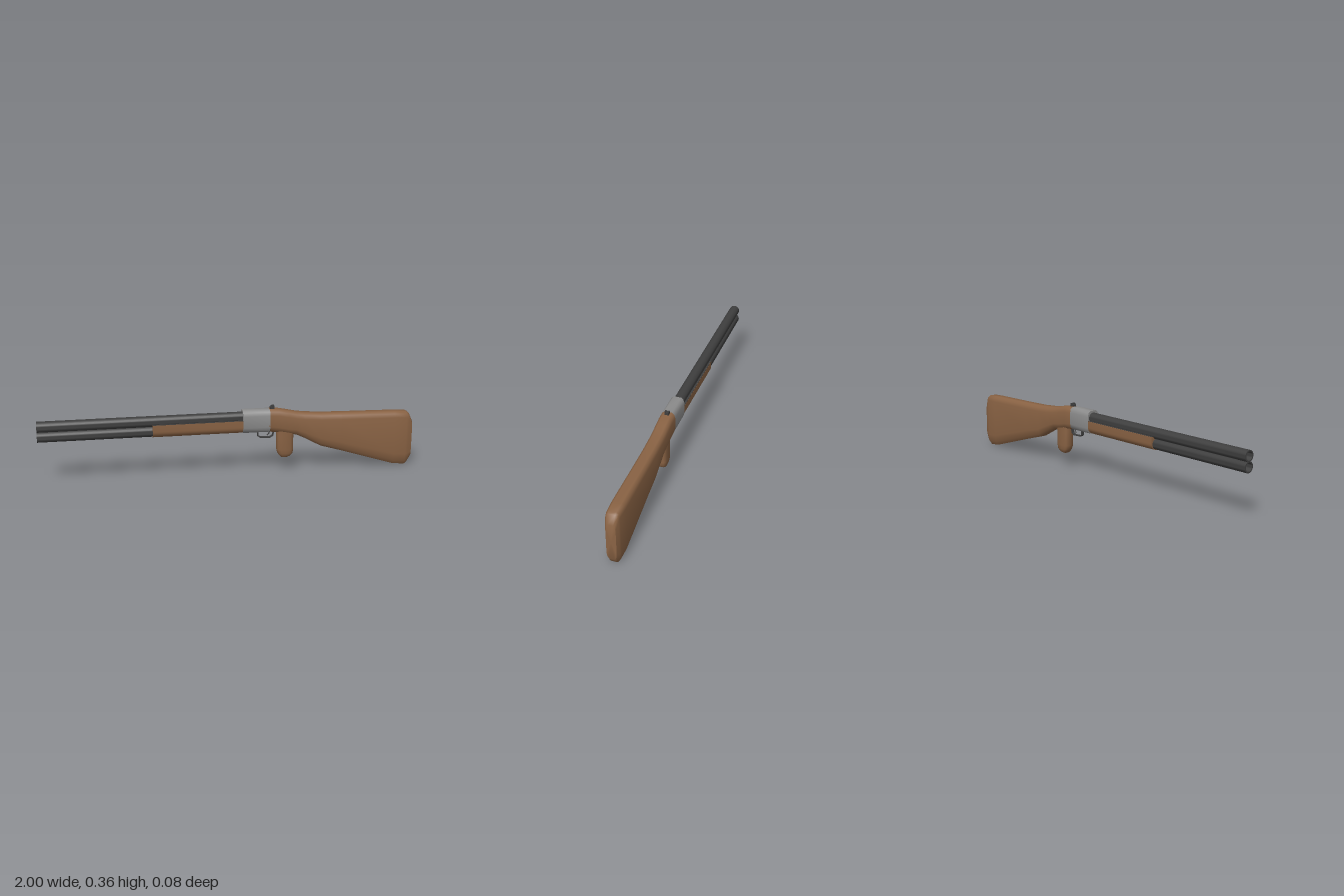
import * as THREE from 'three';
import { toCreasedNormals } from 'three/addons/utils/BufferGeometryUtils.js';

// Skin a closed solid through equal-length rings of [x, y, z] points
function loft(rings, crease = 0.75) {
  const n = rings[0].length, pos = rings.flat(2), idx = [];
  for (let i = 0; i < rings.length - 1; i++) {
    for (let j = 0; j < n; j++) {
      const a = i * n + j, b = i * n + (j + 1) % n;
      idx.push(a, b, b + n, a, b + n, a + n);
    }
  }
  [0, rings.length - 1].forEach((r, end) => {
    const centre = pos.length / 3;
    for (let k = 0; k < 3; k++) pos.push(rings[r].reduce((s, p) => s + p[k], 0) / n);
    for (let j = 0; j < n; j++) {
      const a = r * n + j, b = r * n + (j + 1) % n;
      idx.push(centre, ...(end ? [a, b] : [b, a]));
    }
  });
  const g = new THREE.BufferGeometry();
  g.setAttribute('position', new THREE.Float32BufferAttribute(pos, 3));
  g.setIndex(idx);
  return toCreasedNormals(g.toNonIndexed(), crease);
}

// Rounded upright section across the x axis
function section(x, bottom, top, w, low = 0.035) {
  const c = Math.min(0.03, (top - bottom) * 0.3);
  const half = [
    [0.53 * w, top], [0.87 * w, top - c * 0.35], [w, top - c],
    [w, bottom + low], [0.86 * w, bottom + low * 0.35], [0.5 * w, bottom],
  ];
  return [...half.map(([z, y]) => [x, y, z]), ...half.reverse().map(([z, y]) => [x, y, -z])];
}

// Rounded flat section across the y axis
function gripSection(y, x0, x1, w) {
  const cx = (x0 + x1) / 2, rx = (x1 - x0) / 2, ring = [];
  for (let i = 0; i < 16; i++) {
    const a = (i / 16) * Math.PI * 2, s = Math.sin(a), c = Math.cos(a);
    ring.push([cx + rx * Math.sign(s) * Math.abs(s) ** 0.6, y, w * Math.sign(c) * Math.abs(c) ** 0.6]);
  }
  return ring;
}

export function createModel() {
  const root = new THREE.Group();
  root.name = 'doubleBarrelModel';
  const material = (name, color) => {
    const m = new THREE.MeshStandardMaterial({ color });
    m.name = name;
    return m;
  };
  const wood = material('wood', 0x8a6344);
  const steel = material('steel', 0x8c8c8c);
  const dark = material('darkMetal', 0x3e3e3e);
  const add = (name, geometry, mat, x = 0, y = 0, z = 0) => {
    const m = new THREE.Mesh(geometry, mat);
    m.name = name;
    m.position.set(x, y, z);
    root.add(m);
    return m;
  };

  // Two stacked barrels with hollow muzzles
  const bore = [[0, 0.8], [0.022, 0.8], [0.022, 1.08], [0.0285, 1.08], [0.0285, 0], [0, 0]]
    .reverse().map(([r, y]) => new THREE.Vector2(r, y));
  const barrel = toCreasedNormals(new THREE.LatheGeometry(bore, 24).toNonIndexed(), 0.7);
  barrel.rotateZ(Math.PI / 2);
  add('upperBarrel', barrel, dark, 0.08, 0.3115);
  add('lowerBarrel', barrel, dark, 0.08, 0.2585);

  // Wooden fore-end with a rounded underside
  const foreRing = (x) => {
    const ring = [[x, 0.298, 0.036]];
    for (let i = 0; i <= 12; i++) {
      const a = (i / 12) * Math.PI;
      ring.push([x, 0.263 - 0.036 * Math.sin(a), 0.036 * Math.cos(a)]);
    }
    return [...ring, [x, 0.298, -0.036]];
  };
  add('foreEnd', loft([foreRing(-0.41), foreRing(0.068)]), wood);
  add('foreEndLiner', new THREE.BoxGeometry(0.476, 0.002, 0.071), dark, -0.171, 0.2985);

  // Receiver
  add('receiver', loft([section(0.065, 0.228, 0.35, 0.037, 0.03), section(0.21, 0.228, 0.35, 0.037, 0.03)]), steel);

  // Shoulder stock: [x, bottom, top, half width, lower rounding]
  const stock = [
    [0.205, 0.229, 0.35, 0.037, 0.03], [0.26, 0.222, 0.347, 0.037, 0.03],
    [0.31, 0.211, 0.337, 0.037, 0.03], [0.355, 0.205, 0.327, 0.037, 0.03],
    [0.4, 0.184, 0.321, 0.037, 0.035], [0.49, 0.135, 0.314, 0.037, 0.045],
    [0.6, 0.103, 0.311, 0.037, 0.05], [0.9, 0.01, 0.305, 0.038, 0.06],
    [0.965, 0.004, 0.302, 0.035, 0.06], [0.978, 0.012, 0.294, 0.033, 0.055],
    [1, 0.046, 0.248, 0.025, 0.03],
  ];
  add('stock', loft(stock.map((s) => section(...s)), 0.85), wood);

  // Upright grip below the stock
  add('grip', loft([
    gripSection(0.08, 0.277, 0.31, 0.017), gripSection(0.088, 0.268, 0.328, 0.024),
    gripSection(0.102, 0.258, 0.34, 0.028), gripSection(0.125, 0.251, 0.342, 0.031),
    gripSection(0.2, 0.251, 0.342, 0.031), gripSection(0.25, 0.249, 0.35, 0.033),
  ], 0.9), wood);

  // Trigger guard: a flat strip bent into a bow
  const bow = new THREE.Shape();
  bow.moveTo(0.148, 0.232).lineTo(0.148, 0.202).lineTo(0.162, 0.193).lineTo(0.215, 0.19)
    .lineTo(0.232, 0.2).lineTo(0.239, 0.23).lineTo(0.234, 0.23).lineTo(0.228, 0.204)
    .lineTo(0.214, 0.195).lineTo(0.164, 0.198).lineTo(0.153, 0.205).lineTo(0.153, 0.232);
  add('triggerGuard', new THREE.ExtrudeGeometry(bow, { depth: 0.016, bevelEnabled: false }), dark, 0, 0, -0.008);

  // Curved trigger
  const curve = new THREE.QuadraticBezierCurve3(
    new THREE.Vector3(0.212, 0.235, 0), new THREE.Vector3(0.214, 0.212, 0), new THREE.Vector3(0.2, 0.205, 0));
  add('trigger', new THREE.TubeGeometry(curve, 8, 0.0035, 6), dark);

  // Notched rear sight
  add('sightBase', new THREE.BoxGeometry(0.022, 0.016, 0.023), dark, 0.226, 0.352);
  for (const side of [-1, 1]) {
    add(side > 0 ? 'sightPostFront' : 'sightPostBack', new THREE.BoxGeometry(0.016, 0.01, 0.006), dark, 0.229, 0.362, side * 0.0085);
  }
  return root;
}
